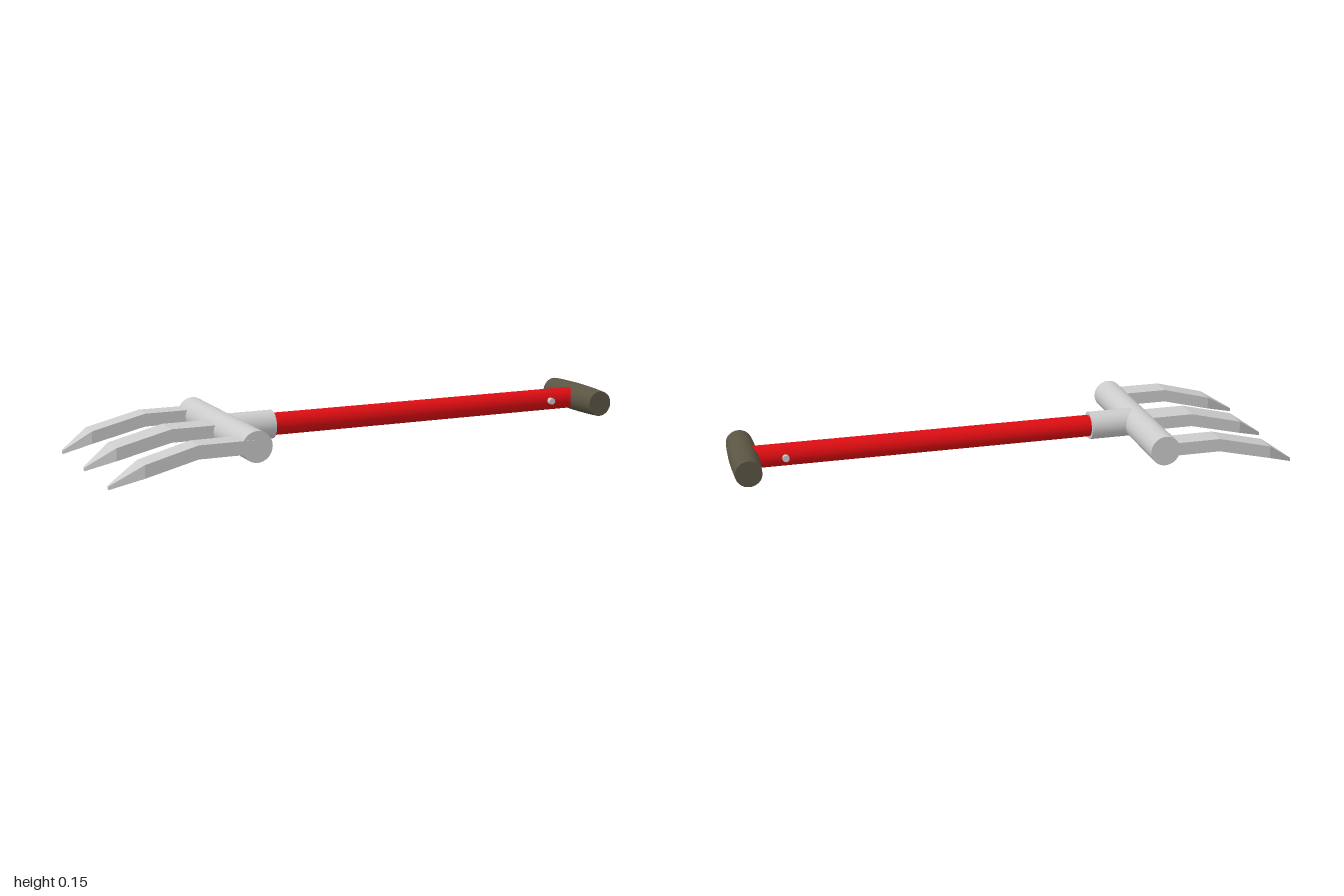
import * as THREE from 'three';

const steel = new THREE.MeshStandardMaterial({ color: 0xcccccc });
const steelFlat = new THREE.MeshStandardMaterial({ color: 0xcccccc, flatShading: true });
const red = new THREE.MeshStandardMaterial({ color: 0xdd0d12 });
const gripMat = new THREE.MeshStandardMaterial({ color: 0x5a5443 });

function part(name, geometry, material, x, y, z) {
  const mesh = new THREE.Mesh(geometry, material);
  mesh.name = name;
  mesh.position.set(x, y, z);
  return mesh;
}

// Cylinder lying along x or z
function rod(radius, length, axis, sides = 32) {
  const g = new THREE.CylinderGeometry(radius, radius, length, sides);
  return axis === 'x' ? g.rotateZ(-Math.PI / 2) : g.rotateX(Math.PI / 2);
}

// Tine lofted through rectangular sections: [z, bottom, top, half width]
function tineGeometry(halfWidth, shoulder) {
  const sections = [
    [0.45, 0.079, 0.125, halfWidth],
    [0.645, 0.079, 0.125, halfWidth],
    [shoulder, 0.034, 0.078, halfWidth],
    [0.934, 0, 0.012, 0.006],
  ];
  const pos = [], index = [];
  for (const [z, bottom, top, w] of sections) {
    pos.push(-w, bottom, z, w, bottom, z, w, top, z, -w, top, z);
  }
  for (let s = 0; s < sections.length - 1; s++) {
    for (let k = 0; k < 4; k++) {
      const a = s * 4 + k, b = s * 4 + (k + 1) % 4;
      index.push(a, b, b + 4, a, b + 4, a + 4);
    }
  }
  const e = (sections.length - 1) * 4;
  index.push(0, 2, 1, 0, 3, 2, e, e + 1, e + 2, e, e + 2, e + 3);
  const g = new THREE.BufferGeometry();
  g.setAttribute('position', new THREE.Float32BufferAttribute(pos, 3));
  g.setIndex(index);
  g.computeVertexNormals();
  return g;
}

// Slightly barrelled grip with flat ends
function gripGeometry(length, endRadius, midRadius) {
  const g = new THREE.CylinderGeometry(endRadius, endRadius, length, 32, 8);
  const p = g.attributes.position;
  for (let i = 0; i < p.count; i++) {
    const t = p.getY(i) / (length / 2);
    const k = 1 + (midRadius / endRadius - 1) * (1 - t * t);
    p.setX(i, p.getX(i) * k);
    p.setZ(i, p.getZ(i) * k);
  }
  return g.rotateZ(-Math.PI / 2);
}

export function createModel() {
  const group = new THREE.Group();
  group.name = 'handFork';
  const tool = new THREE.Group();
  tool.name = 'fork';
  tool.rotation.y = THREE.MathUtils.degToRad(-20);
  group.add(tool);

  const cx = 0.042, cy = 0.101;

  // Head: crossbar and socket
  tool.add(part('crossbar', rod(0.053, 0.642, 'x'), steel, cx, cy, 0.443));
  tool.add(part('socket', rod(0.05, 0.18, 'z'), steel, cx, cy, 0.354));

  // Three bent, pointed tines
  const tines = [
    ['rightTine', -0.237, 0.04, 0.838],
    ['middleTine', 0.043, 0.05, 0.836],
    ['leftTine', 0.323, 0.042, 0.824],
  ];
  for (const [name, x, w, shoulder] of tines) {
    tool.add(part(name, tineGeometry(w, shoulder), steelFlat, x, 0, 0));
  }

  // Shaft, cross pin and T grip
  tool.add(part('shaft', rod(0.039, 1.26, 'z'), red, cx, cy, -0.345));
  tool.add(part('pin', rod(0.012, 0.106, 'x', 16), steel, cx + 0.002, cy + 0.001, -0.839));
  tool.add(part('grip', gripGeometry(0.318, 0.046, 0.051), gripMat, cx, cy, -0.978));

  return group;
}
